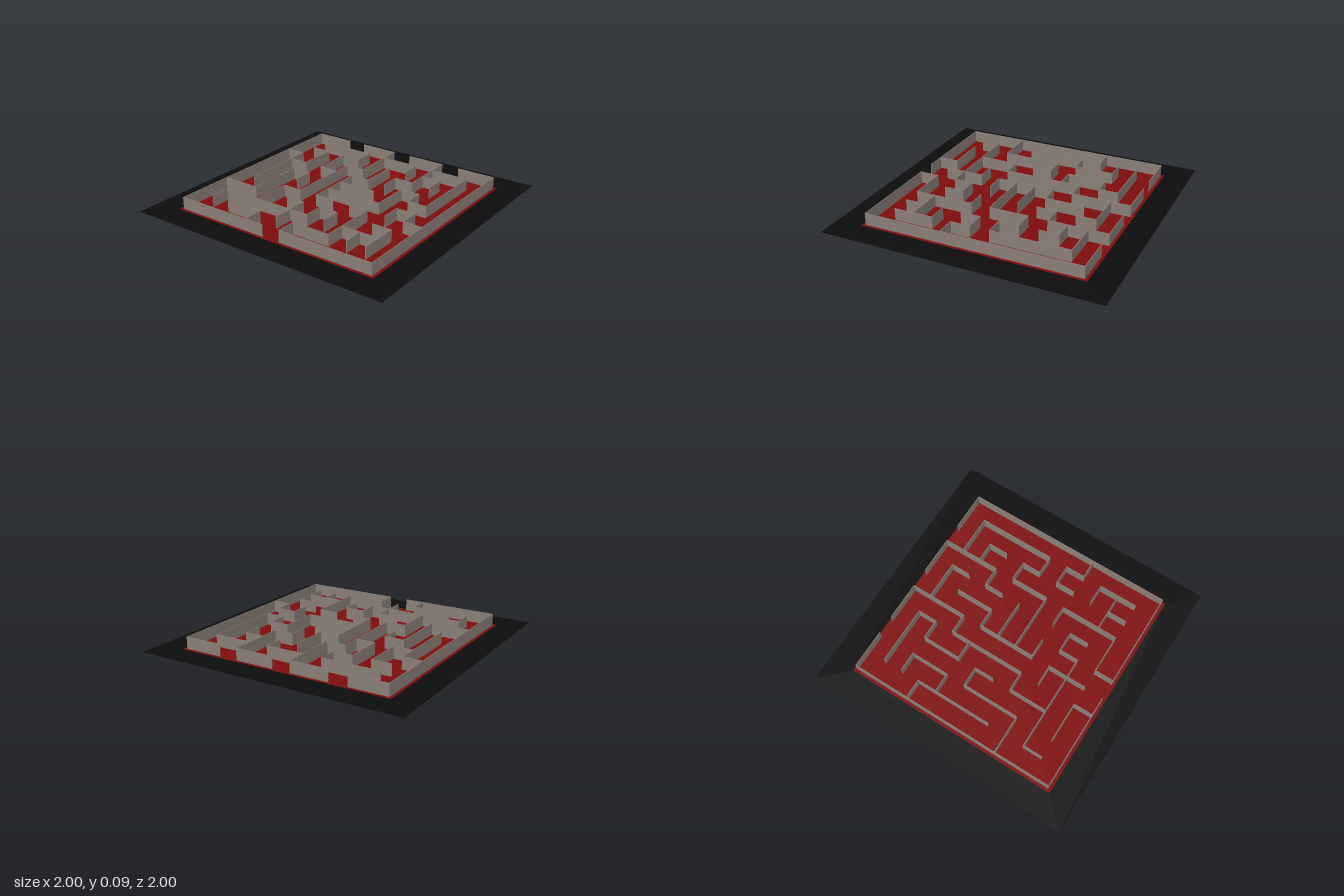
import * as THREE from 'three';

const CELL = 1 / 7, HALF = 5.5 * CELL, HEIGHT = 0.088, THICK = 0.005;

// Wall runs on an 11 x 11 grid: line index -> [from, to] pairs
const ROWS = {
  0: [[0, 2], [3, 5], [6, 8], [9, 11]],
  1: [[1, 4], [5, 7], [8, 10]],
  2: [[1, 2], [3, 4], [8, 9]],
  3: [[0, 1], [4, 5], [7, 8]],
  4: [[1, 2], [3, 4], [5, 6], [8, 9]],
  5: [[2, 3], [5, 7], [9, 10]],
  6: [[5, 8], [9, 10]],
  7: [[3, 4], [5, 6], [7, 8], [10, 11]],
  8: [[0, 2], [4, 5], [6, 7], [9, 10]],
  9: [[1, 6], [8, 10]],
  10: [[2, 4], [6, 8]],
  11: [[0, 5], [6, 11]],
};
const COLUMNS = {
  0: [[0, 11]],
  1: [[3, 7], [9, 10]],
  2: [[2, 4], [5, 8]],
  3: [[2, 4], [5, 6], [7, 9]],
  4: [[1, 2], [3, 7], [10, 11]],
  5: [[0, 3], [4, 7], [8, 10]],
  6: [[2, 4], [8, 9], [10, 11]],
  7: [[1, 2], [3, 4], [8, 9]],
  8: [[0, 3], [4, 6], [7, 10]],
  9: [[2, 3], [4, 5], [6, 7], [9, 10]],
  10: [[1, 5], [6, 7], [8, 10]],
  11: [[0, 11]],
};

const at = (i) => i * CELL - HALF;

function square(half, Type) {
  return new Type([[-1, -1], [1, -1], [1, 1], [-1, 1]]
    .map(([x, y]) => new THREE.Vector2(x * half, y * half)));
}

export function createModel() {
  const model = new THREE.Group();
  model.name = 'maze';
  const black = new THREE.MeshStandardMaterial({ color: 0x0d0d0d, side: THREE.DoubleSide });
  black.name = 'black ground';
  const red = new THREE.MeshStandardMaterial({ color: 0x7f0d0e, side: THREE.DoubleSide });
  red.name = 'dark red floor';
  const grey = new THREE.MeshStandardMaterial({ color: 0x8a7e77 });
  grey.name = 'warm grey wall';

  // Flat ground border around the flat floor
  const addFlat = (shape, material, name) => {
    const mesh = new THREE.Mesh(new THREE.ShapeGeometry(shape).rotateX(-Math.PI / 2), material);
    mesh.name = name;
    model.add(mesh);
  };
  const border = square(1, THREE.Shape);
  border.holes.push(square(0.81, THREE.Path));
  addFlat(border, black, 'ground');
  addFlat(square(0.81, THREE.Shape), red, 'floor');

  // Thin walls along both grid directions
  const addWalls = (lines, alongX, name) => {
    const walls = new THREE.Group();
    walls.name = name;
    for (const [line, runs] of Object.entries(lines)) {
      for (const [from, to] of runs) {
        const length = (to - from) * CELL + THICK;
        const middle = at((from + to) / 2);
        const wall = new THREE.Mesh(
          new THREE.BoxGeometry(alongX ? length : THICK, HEIGHT, alongX ? THICK : length), grey);
        wall.position.set(alongX ? middle : at(+line), HEIGHT / 2, alongX ? at(+line) : middle);
        wall.name = 'wall';
        walls.add(wall);
      }
    }
    model.add(walls);
  };
  addWalls(ROWS, true, 'crossWalls');
  addWalls(COLUMNS, false, 'lengthWalls');

  return model;
}
